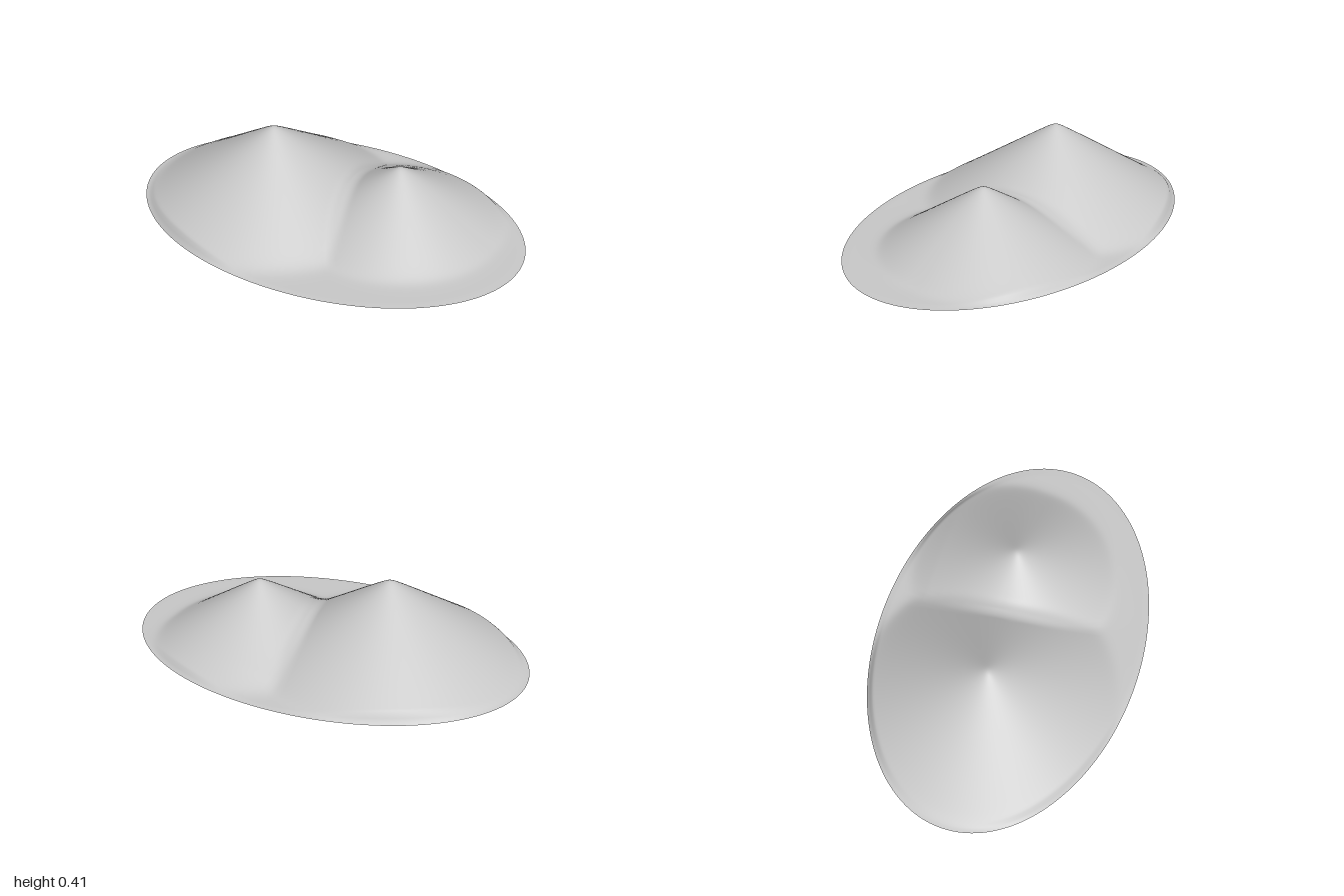
import * as THREE from 'three';

const RX = 1, RZ = 0.665, RINGS = 80, SEGS = 144;

// Cone with a slightly blunt tip and a soft foot
function cone(x, z, px, pz, height, radius) {
  const d = Math.hypot(x - px, z - pz);
  const blunt = Math.sqrt(d * d + 0.0004) - 0.02;
  const h = height * (1 - blunt / radius);
  const k = 0.02;
  return (h + Math.sqrt(h * h + k * k)) / 2 - k * k / (4 * height);
}

// Two peaks joined by a filled saddle
function heightAt(x, z) {
  const a = cone(x, z, -0.31, 0, 0.412, 0.63);
  const backward = THREE.MathUtils.clamp((-0.08 - z) / 0.4, 0, 1);
  const b = cone(x, z, 0.34, -0.08, 0.322, 0.48 + 0.04 * backward);
  const k = Math.max(1e-5, Math.min(0.1, 0.6 * Math.min(a, b)));
  const t = Math.max(k - Math.abs(a - b), 0) / k;
  return Math.max(a, b) + t * t * k / 4;
}

// Elliptical sheet of rings whose points are lifted by the height rule
function hillGeometry() {
  const pos = [], index = [];
  for (let i = 0; i <= RINGS; i++) {
    const r = i / RINGS;
    for (let j = 0; j < SEGS; j++) {
      const a = (j / SEGS) * Math.PI * 2;
      const x = RX * r * Math.cos(a), z = RZ * r * Math.sin(a);
      const rim = Math.min(1, (1 - r) / 0.04);
      pos.push(x, (heightAt(x, z) + 0.001) * rim, z);
      if (i === RINGS) continue;
      const p = i * SEGS + j, q = i * SEGS + (j + 1) % SEGS;
      if (i > 0) index.push(p, q, p + SEGS);
      index.push(q, q + SEGS, p + SEGS);
    }
  }
  // Merge the centre ring into one point
  const merged = index.map(n => (n < SEGS ? 0 : n));
  const g = new THREE.BufferGeometry();
  g.setAttribute('position', new THREE.Float32BufferAttribute(pos, 3));
  g.setIndex(merged);
  g.computeVertexNormals();
  return g;
}

export function createModel() {
  const group = new THREE.Group();
  group.name = 'twinHills';
  const stone = new THREE.MeshStandardMaterial({ color: 0xc8c8c8 });
  stone.name = 'light grey';

  const hills = new THREE.Mesh(hillGeometry(), stone);
  hills.name = 'hills';
  group.add(hills);

  // Flat underside
  const base = new THREE.Mesh(new THREE.CircleGeometry(1, SEGS), stone);
  base.name = 'underside';
  base.rotation.x = Math.PI / 2;
  base.scale.set(RX, RZ, 1);
  group.add(base);
  return group;
}
